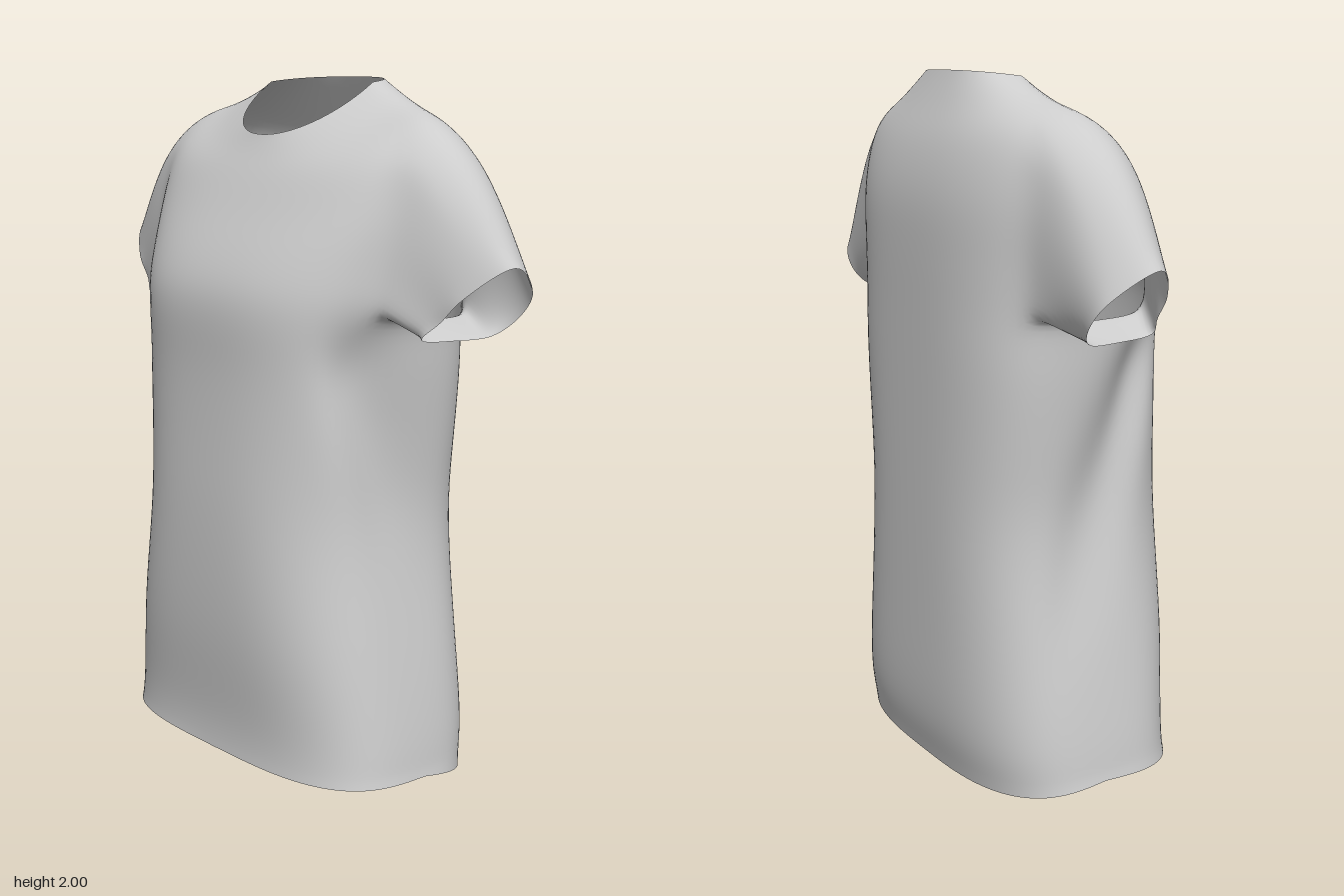
import * as THREE from 'three';

const COLS = 96, SUB = 6;             // columns round the body, rows per section
const ARM_LOW = 6 * SUB, ARM_TOP = 9 * SUB; // rows bounding the armholes
const ARM_FRONT = 6, ARM_BACK = 8;    // armhole width in columns
const RINGS = 14;                     // rings along each sleeve

// Body sections, hem to neck: side x, y, z, then front y, z, back y, z,
// then the squareness of the front and back halves
const SECTIONS = [
  [0.56, 0.05, -0.02, 0.05, 0.31, 0, -0.31, 3.3, 3],
  [0.55, 0.16, -0.02, 0.16, 0.31, 0.14, -0.34, 3.2, 3],
  [0.51, 0.42, -0.02, 0.42, 0.34, 0.42, -0.345, 3, 3],
  [0.465, 0.76, -0.03, 0.76, 0.348, 0.76, -0.346, 2.7, 3],
  [0.484, 1.0, -0.04, 1.0, 0.34, 1.0, -0.346, 2.6, 3],
  [0.5, 1.2, -0.05, 1.2, 0.336, 1.2, -0.346, 2.6, 3],
  [0.505, 1.36, -0.05, 1.375, 0.34, 1.36, -0.346, 2.6, 2.9],
  [0.52, 1.52, -0.05, 1.48, 0.31, 1.5, -0.346, 2.5, 2.8],
  [0.54, 1.7, -0.05, 1.62, 0.234, 1.66, -0.34, 2.5, 2.7],
  [0.51, 1.885, -0.06, 1.72, 0.18, 1.8, -0.307, 2.4, 2.6],
  [0.36, 1.928, -0.09, 1.785, 0.142, 1.9, -0.262, 2.2, 2.5],
  [0.225, 1.98, -0.1, 1.835, 0.115, 1.995, -0.22, 2.1, 2.4],
];

// Cuff outline as y, z: top, front, bottom, back
const CUFF = [[1.515, -0.05], [1.43, 0.04], [1.365, 0.055], [1.317, 0.075],
  [1.305, -0.04], [1.312, -0.15], [1.36, -0.188], [1.43, -0.175]];

function sectionPoint([w, ys, zs, yf, zf, yb, zb, squareF, squareB], angle) {
  const c = Math.cos(angle), s = Math.sin(angle);
  const power = s >= 0 ? squareF : squareB;
  const depth = Math.abs(s) ** (2 / power);
  const x = w * Math.sign(c) * Math.abs(c) ** (2 / power);
  return new THREE.Vector3(x,
    THREE.MathUtils.lerp(ys, s >= 0 ? yf : yb, depth),
    THREE.MathUtils.lerp(zs, s >= 0 ? zf : zb, depth));
}

// Slanting drape fold under each arm
function addFold(p) {
  const foldZ = -0.1 + (p.y - 0.45) * 0.32;
  const fade = THREE.MathUtils.smoothstep(p.y, 0.3, 1.1) *
    (1 - THREE.MathUtils.smoothstep(p.y, 1.2, 1.4));
  p.x *= 1 - 0.18 * fade * Math.exp(-(((p.z - foldZ) / 0.068) ** 2));
}

function buildBody(points, pinned) {
  const rows = (SECTIONS.length - 1) * SUB;
  const curves = Array.from({ length: COLS }, (_, i) => new THREE.CatmullRomCurve3(
    SECTIONS.map((section) => sectionPoint(section, (i / COLS) * Math.PI * 2))));
  for (let r = 0; r <= rows; r++) {
    for (let i = 0; i < COLS; i++) {
      const p = curves[i].getPoint(r / rows);
      addFold(p);
      if (r === 0 || r === rows) pinned.add(points.length);
      points.push(p);
    }
  }
  const inArmhole = (r, i) => {
    if (r < ARM_LOW || r >= ARM_TOP) return false;
    const left = i < COLS / 4 ? i : i - COLS;
    const right = COLS / 2 - 1 - i;
    return (left >= -ARM_BACK && left < ARM_FRONT) || (right >= -ARM_BACK && right < ARM_FRONT);
  };
  const index = [];
  for (let r = 0; r < rows; r++) {
    for (let i = 0; i < COLS; i++) {
      if (inArmhole(r, i)) continue;
      const a = r * COLS + i, b = r * COLS + (i + 1) % COLS;
      index.push(a, a + COLS, b, b, a + COLS, b + COLS);
    }
  }
  return index;
}

// Armhole edge: from the shoulder, down the front, under, up the back
function armholeLoop(side) {
  const loop = [];
  const add = (r, k) => loop.push(r * COLS + (side > 0 ? (k + COLS) % COLS : COLS / 2 - k));
  for (let k = 0; k < ARM_FRONT; k++) add(ARM_TOP, k);
  for (let r = ARM_TOP; r > ARM_LOW; r--) add(r, ARM_FRONT);
  for (let k = ARM_FRONT; k > -ARM_BACK; k--) add(ARM_LOW, k);
  for (let r = ARM_LOW; r < ARM_TOP; r++) add(r, -ARM_BACK);
  for (let k = -ARM_BACK; k < 0; k++) add(ARM_TOP, k);
  return loop;
}

function buildSleeve(points, pinned, side) {
  const loop = armholeLoop(side), n = loop.length;
  // The front edge of the cuff sits a little closer to the body
  const cuff = new THREE.CatmullRomCurve3(CUFF.map(([y, z]) =>
    new THREE.Vector3(side * (0.63 + (y - 1.305) * 0.93 - 0.22 * (z + 0.05)), y, z)), true);

  // Share of the edge length travelled, front and back halves separately
  const travelled = [0];
  for (let j = 0; j < n; j++) {
    travelled.push(travelled[j] + points[loop[j]].distanceTo(points[loop[(j + 1) % n]]));
  }
  const low = ARM_FRONT + (ARM_TOP - ARM_LOW) + ARM_FRONT;
  const share = (j) => j <= low ? 0.5 * travelled[j] / travelled[low]
    : 0.5 + 0.5 * (travelled[j] - travelled[low]) / (travelled[n] - travelled[low]);

  let ring = loop;
  const index = [];
  for (let k = 1; k <= RINGS; k++) {
    const t = k / RINGS;
    const next = loop.map((id, j) => {
      const p = points[id].clone().lerp(cuff.getPointAt(share(j) % 1), t);
      // Fuller over the shoulder
      const top = THREE.MathUtils.smoothstep(Math.cos(share(j) * Math.PI * 2), -0.6, 1);
      const bulge = 0.025 * top * Math.sin(Math.PI * t ** 0.7);
      p.x += side * bulge;
      p.y += bulge;
      if (k === RINGS) pinned.add(points.length);
      points.push(p);
      return points.length - 1;
    });
    for (let j = 0; j < n; j++) {
      const m = (j + 1) % n;
      const [a, b, c, d] = [ring[j], ring[m], next[j], next[m]];
      if (side > 0) index.push(a, b, c, b, d, c);
      else index.push(a, c, b, b, c, d);
    }
    ring = next;
  }
  return index;
}

// Relax the cloth so sleeves blend into the body; hems stay fixed
function relax(points, pinned, index, passes) {
  const near = points.map(() => new Set());
  for (let i = 0; i < index.length; i += 3) {
    for (let e = 0; e < 3; e++) {
      const a = index[i + e], b = index[i + (e + 1) % 3];
      near[a].add(b);
      near[b].add(a);
    }
  }
  for (let pass = 0; pass < passes; pass++) {
    const old = points.map((p) => p.clone());
    points.forEach((p, i) => {
      if (pinned.has(i) || near[i].size === 0) return;
      const mean = new THREE.Vector3();
      near[i].forEach((k) => mean.add(old[k]));
      p.lerp(mean.divideScalar(near[i].size), 0.5);
    });
  }
}

export function createModel() {
  const points = [], pinned = new Set();
  const parts = { body: buildBody(points, pinned) };
  parts.leftSleeve = buildSleeve(points, pinned, 1);
  parts.rightSleeve = buildSleeve(points, pinned, -1);
  const all = Object.values(parts).flat();
  relax(points, pinned, all, 10);

  // Common normals keep the sleeve seams smooth
  const whole = new THREE.BufferGeometry().setFromPoints(points);
  whole.setIndex(all);
  whole.computeVertexNormals();

  const cloth = new THREE.MeshStandardMaterial({ color: 0xcccccc, side: THREE.DoubleSide });
  cloth.name = 'light grey cloth';
  const shirt = new THREE.Group();
  shirt.name = 'shirt';
  for (const [name, index] of Object.entries(parts)) {
    const geometry = new THREE.BufferGeometry();
    geometry.setAttribute('position', whole.getAttribute('position'));
    geometry.setAttribute('normal', whole.getAttribute('normal'));
    geometry.setIndex(index);
    const mesh = new THREE.Mesh(geometry, cloth);
    mesh.name = name;
    shirt.add(mesh);
  }
  return shirt;
}
